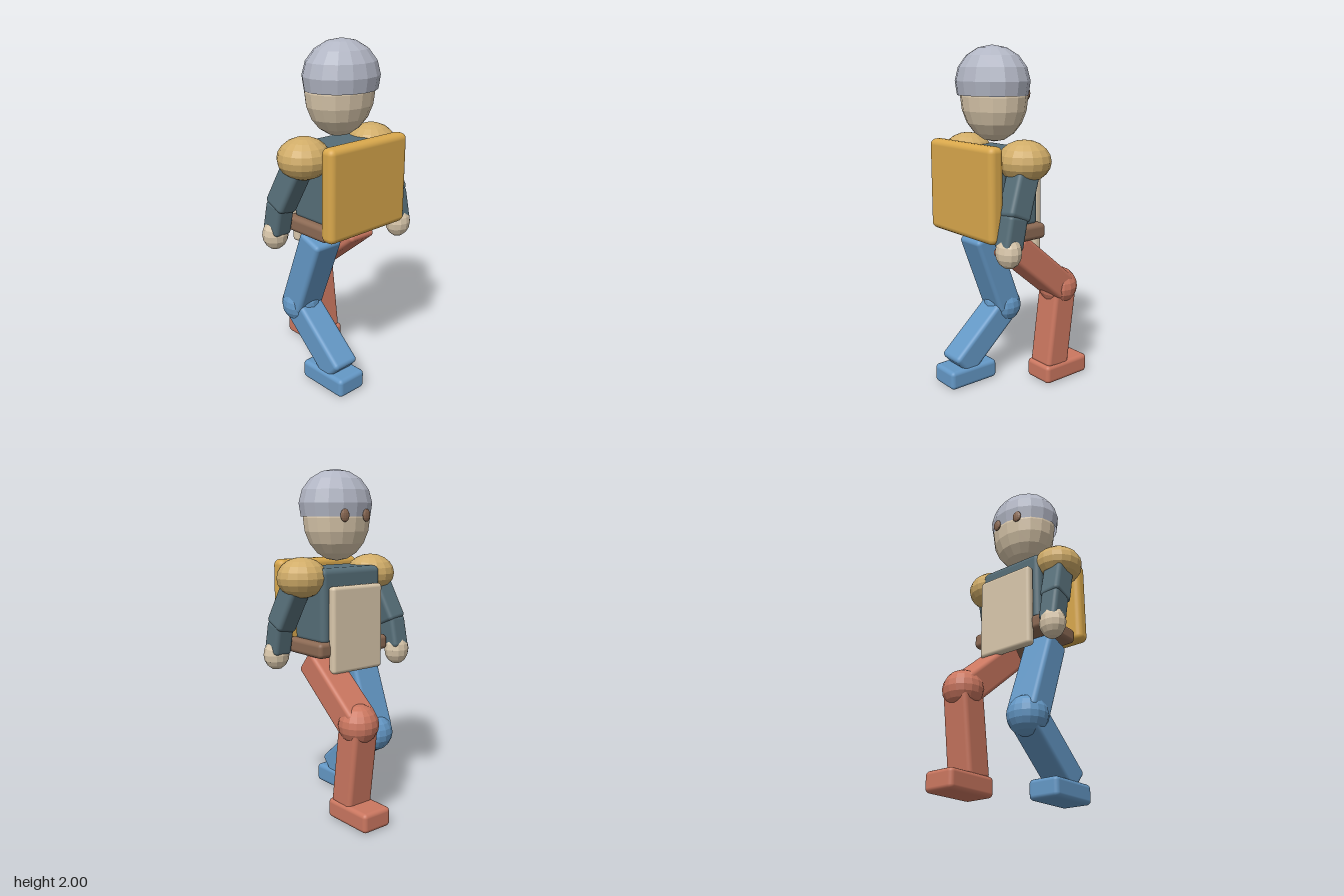
import * as THREE from 'three';
import { RoundedBoxGeometry } from 'three/addons/geometries/RoundedBoxGeometry.js';

function makeMaterial(name, color, side = THREE.FrontSide) {
  const m = new THREE.MeshStandardMaterial({ color, side });
  m.name = name;
  return m;
}

export function createModel() {
  const model = new THREE.Group();
  model.name = 'walkingFigure';

  const skin = makeMaterial('skin', 0xd9c7ab);
  const steel = makeMaterial('helmetSteel', 0xb2b6c4, THREE.DoubleSide);
  const brass = makeMaterial('shoulderBrass', 0xd0ac68);
  const ochre = makeMaterial('packOchre', 0xd9a84c);
  const slate = makeMaterial('tunicSlate', 0x566e78);
  const leather = makeMaterial('leather', 0x8c6a54);
  const red = makeMaterial('legRed', 0xcb7760);
  const blue = makeMaterial('legBlue', 0x6498c6);

  function add(parent, name, geometry, material, pos) {
    const mesh = new THREE.Mesh(geometry, material);
    mesh.name = name;
    mesh.position.set(...pos);
    parent.add(mesh);
    return mesh;
  }

  // Block with soft edges
  const block = (parent, name, material, size, pos, r = 0.025) =>
    add(parent, name, new RoundedBoxGeometry(...size, 3, r), material, pos);

  // Faceted ellipsoid, optionally cut off below an angle
  function ball(parent, name, material, radii, pos, w = 16, h = 10, theta = Math.PI) {
    const g = new THREE.SphereGeometry(1, w, h, 0, Math.PI * 2, 0, theta)
      .scale(...radii).toNonIndexed();
    g.computeVertexNormals();
    return add(parent, name, g, material, pos);
  }

  // Limb block running from point a to point b
  function limb(parent, name, material, a, b, width, depth) {
    const from = new THREE.Vector3(...a), to = new THREE.Vector3(...b);
    const dir = to.clone().sub(from);
    const mid = from.add(to).multiplyScalar(0.5);
    const mesh = block(parent, name, material, [width, dir.length(), depth], mid.toArray());
    mesh.quaternion.setFromUnitVectors(new THREE.Vector3(0, -1, 0), dir.normalize());
    return mesh;
  }

  // Head, eyes and helmet
  const head = new THREE.Group();
  head.name = 'head';
  model.add(head);
  ball(head, 'face', skin, [0.213, 0.25, 0.175], [0, 1.72, 0.13]);
  ball(head, 'helmet', steel, [0.23, 0.205, 0.198], [0, 1.795, 0.14], 16, 5, 1.9);
  for (const s of [-1, 1]) {
    const eye = ball(head, 'eye', leather, [0.03, 0.037, 0.012], [s * 0.08, 1.735, -0.043], 12, 8);
    eye.rotation.y = -s * 0.12;
  }

  // Torso, belt, breast panel and pack
  block(model, 'torso', slate, [0.44, 0.44, 0.28], [0, 1.22, 0.125], 0.035);
  block(model, 'belt', leather, [0.52, 0.09, 0.325], [0, 0.975, 0.123]);
  block(model, 'chestPanel', skin, [0.374, 0.505, 0.055], [0, 1.0875, -0.043], 0.022);
  block(model, 'backpack', ochre, [0.59, 0.525, 0.092], [0, 1.2175, 0.333], 0.035);

  // Arms swing in opposite directions
  for (const [side, s] of [['left', 1], ['right', -1]]) {
    const arm = new THREE.Group();
    arm.name = side + 'Arm';
    model.add(arm);
    const elbow = [s * 0.325, 1.12, 0.125 + s * 0.125];
    const wrist = [s * 0.326, 0.93, 0.125 + s * 0.165];
    ball(arm, 'shoulderPad', brass, [0.15, 0.117, 0.145], [s * 0.26, 1.385, 0.125]);
    limb(arm, 'upperArm', slate, [s * 0.275, 1.39, 0.125],
      [s * 0.325, 1.09, 0.125 + s * 0.13], 0.13, 0.145);
    limb(arm, 'forearm', slate, elbow, wrist, 0.118, 0.127);
    ball(arm, 'hand', skin, [0.08, 0.092, 0.07], [s * 0.332, 0.922, 0.125 + s * 0.168], 12, 8);
  }

  // Striding legs: hip, knee and ankle given as [y, z]
  const legs = [
    ['leftLeg', red, 0.147, [0.90, 0.145], [0.58, -0.24], [0.09, -0.177], -0.245],
    ['rightLeg', blue, -0.147, [0.905, 0.14], [0.425, -0.04], [0.11, 0.315], 0.245],
  ];
  for (const [name, material, x, hip, knee, ankle, footZ] of legs) {
    const leg = new THREE.Group();
    leg.name = name;
    model.add(leg);
    limb(leg, 'thigh', material, [x, ...hip], [x, ...knee], 0.195, 0.165);
    ball(leg, 'knee', material, [0.118, 0.115, 0.117], [x, ...knee]);
    limb(leg, 'shin', material, [x, ...knee], [x, ...ankle], 0.172, 0.165);
    block(leg, 'foot', material, [0.195, 0.114, 0.33], [x, 0.057, footZ]);
  }

  return model;
}
